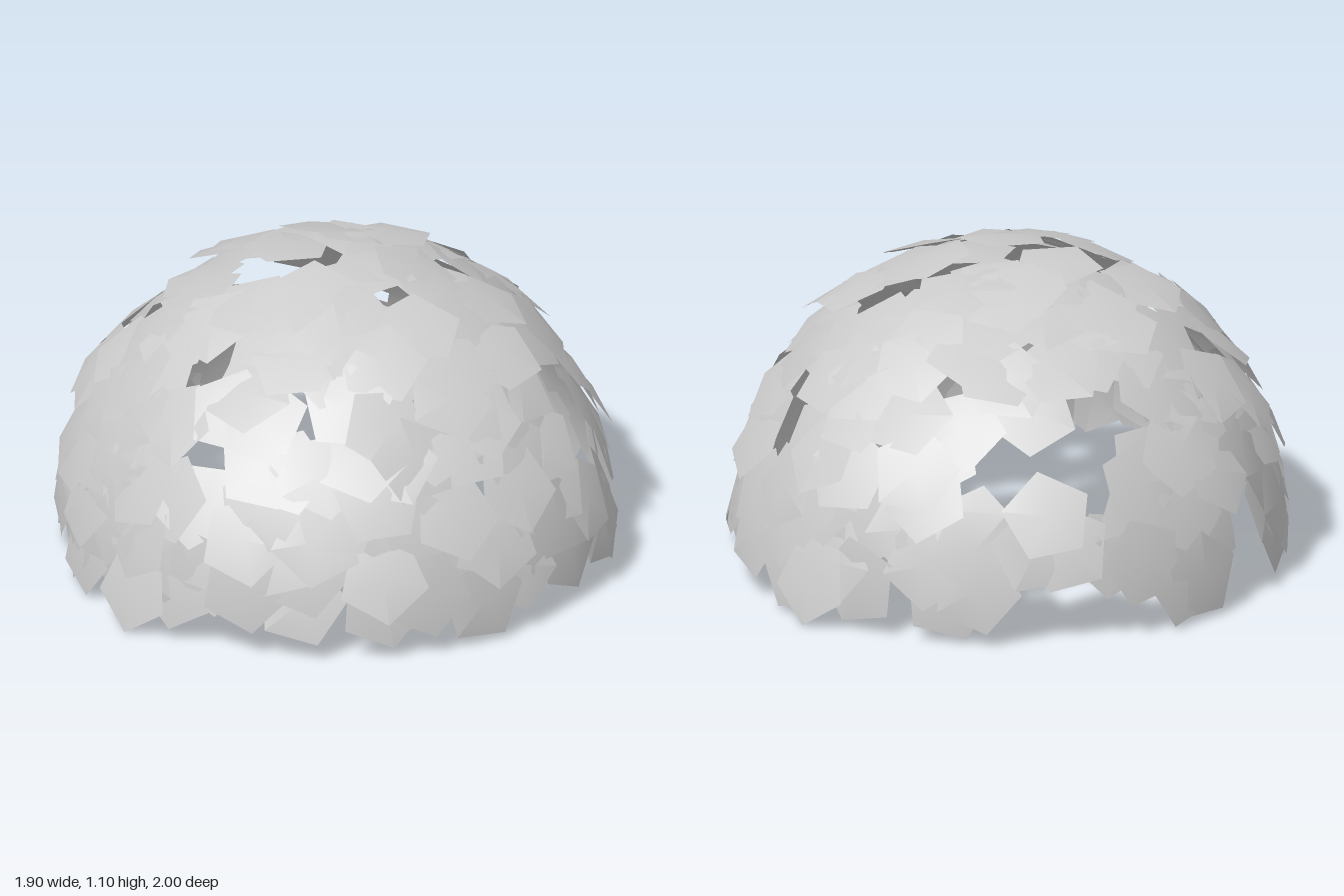
import * as THREE from 'three';

// Small seeded random generator, 0..1
function seeded(seed) {
  return () => {
    seed = (seed * 1664525 + 1013904223) % 4294967296;
    return seed / 4294967296;
  };
}

// Pentagon plate facing +z, its middle bulging slightly
function plateGeometry(radius, bulge) {
  const geometry = new THREE.CircleGeometry(radius, 5);
  geometry.attributes.position.setZ(0, bulge);
  geometry.computeVertexNormals();
  return geometry;
}

export function createModel() {
  const model = new THREE.Group();
  const dome = new THREE.Group();
  dome.name = 'plateDome';
  model.add(dome);

  const random = seeded(77);
  const spread = (amount) => (random() * 2 - 1) * amount;
  const material = new THREE.MeshStandardMaterial({ color: 0xcccccc, side: THREE.DoubleSide });
  const geometry = plateGeometry(0.158, 0.018);
  const centre = new THREE.Vector3(0, 0.155, 0);
  const radius = 0.915;

  // One plate, its normal lifted so that the lower edge stands out like a shingle
  function addPlate(name, direction, distance, lift, turn, tilt) {
    const plate = new THREE.Mesh(geometry, material);
    plate.name = name;
    plate.position.copy(direction).multiplyScalar(distance).add(centre);
    const facing = direction.clone().setY(direction.y + lift);
    plate.lookAt(plate.position.clone().add(facing));
    plate.rotateX(spread(tilt));
    plate.rotateY(spread(tilt));
    plate.rotateZ(turn);
    dome.add(plate);
  }

  // Openings left between the plates: x, y, z, radius
  const openings = [
    [-0.72, 0.62, -0.42, 0.06], [-0.72, 0.74, -0.2, 0.05], [-0.55, 0.6, -0.62, 0.03],
    [0.25, 1.0, -0.37, 0.02], [-0.28, 0.85, -0.62, 0.01], [0.35, 0.7, -0.75, 0.04],
    [0.75, 0.65, -0.38, 0.05], [0.7, 0.38, -0.6, 0.03], [-0.55, 0.8, 0.4, 0.02],
    [-0.03, 0.85, 0.62, 0.02], [0.45, 0.78, 0.55, 0.02], [-0.1, 1.05, 0.22, 0.01],
  ].map(([x, y, z, r]) => ({
    direction: new THREE.Vector3(x, y, z).sub(centre).normalize(),
    reach: (r + 0.13) / radius,
  }));

  // Plates with a set place on the upper dome: x, z
  const placed = [
    [-0.28, 0], [0.2, -0.17], [0.47, -0.15], [0.15, 0.13], [-0.03, 0.37], [-0.2, 0.55],
    [0.2, 0.6], [0.33, 0.3], [-0.55, 0.2], [-0.35, 0.28], [-0.35, 0.42], [-0.57, -0.03],
    [-0.68, 0.3], [-0.12, 0.76], [-0.38, -0.45], [0.33, -0.53], [0.1, -0.6], [-0.1, -0.5],
    [0, -0.4], [0.48, 0.42], [-0.6, 0.52], [0.52, 0.02], [-0.12, -0.2], [-0.35, -0.2],
  ].map(([x, z]) => new THREE.Vector3(x, Math.sqrt(radius * radius - x * x - z * z), z).normalize());

  // Random direction on the upper half that leaves the openings free
  function freeDirection() {
    const direction = new THREE.Vector3();
    do {
      const height = random() * 0.99;
      const turn = random() * Math.PI * 2;
      const ring = Math.sqrt(1 - height * height);
      direction.set(ring * Math.cos(turn), height, ring * Math.sin(turn));
    } while (openings.some((o) => o.direction.distanceTo(direction) < o.reach));
    return direction;
  }

  // Scatter the rest, each time keeping the roomiest of a few candidates
  while (placed.length < 220) {
    let best = null;
    let bestRoom = -1;
    for (let k = 0; k < 3; k++) {
      const candidate = freeDirection();
      const room = placed.reduce((least, d) => Math.min(least, d.distanceTo(candidate)), 9);
      if (room > bestRoom) {
        best = candidate;
        bestRoom = room;
      }
    }
    placed.push(best);
  }
  for (const direction of placed) {
    addPlate('plate', direction, radius + spread(0.018), 0.13, random() * Math.PI * 2, 0.12);
  }

  // Flared plates at the front and back of the rim, one corner pointing down
  for (const side of [1, -1]) {
    addPlate('rimPlate', new THREE.Vector3(0, 0, side), 0.955, 0.3, -Math.PI / 2, 0);
  }
  return model;
}
